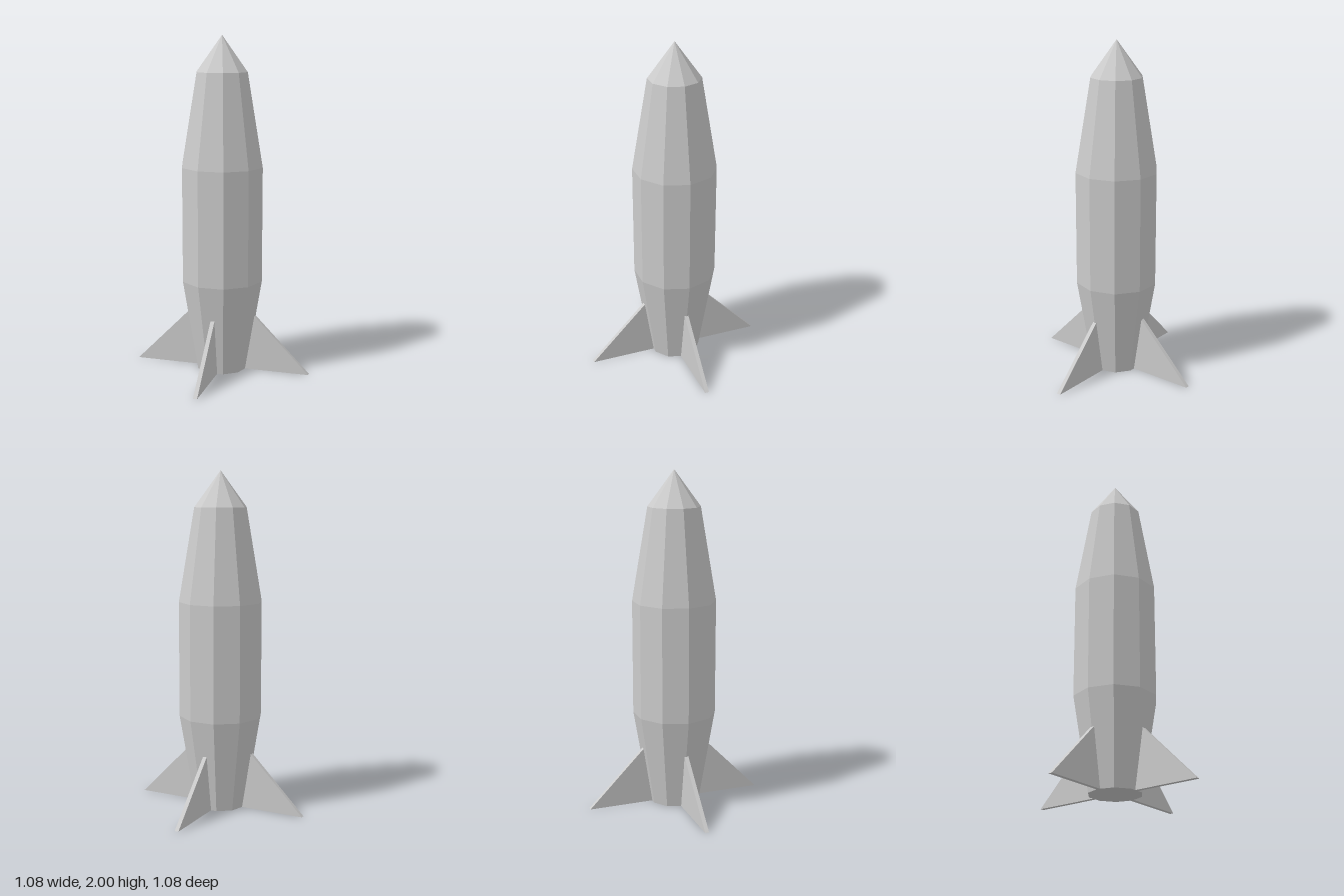
import * as THREE from 'three';

export function createModel() {
  const model = new THREE.Group();
  const material = new THREE.MeshStandardMaterial({ color: 0xcccccc, flatShading: true });

  // Ten-sided hull: base, tapered tail, straight barrel, shoulder and nose tip
  const profile = [[0, 0], [0.154, 0], [0.247, 0.555], [0.247, 1.24], [0.154, 1.79], [0, 2]]
    .map(([r, y]) => new THREE.Vector2(r, y));
  const hull = new THREE.Mesh(new THREE.LatheGeometry(profile, 10, Math.PI / 2), material);
  hull.name = 'hull';
  hull.position.z = -0.002;
  model.add(hull);

  // Four thin triangular fins, their roots sunk into the tail
  const thickness = 0.024;
  const outline = new THREE.Shape([
    new THREE.Vector2(0.12, 0),
    new THREE.Vector2(0.54, 0),
    new THREE.Vector2(0.19, 0.355),
  ]);
  const finGeometry = new THREE.ExtrudeGeometry(outline, { depth: thickness, bevelEnabled: false });
  finGeometry.translate(0, 0, -thickness / 2);
  ['leftFin', 'backFin', 'rightFin', 'frontFin'].forEach((name, i) => {
    const fin = new THREE.Mesh(finGeometry, material);
    fin.name = name;
    fin.rotation.y = (i * Math.PI) / 2;
    model.add(fin);
  });

  return model;
}
